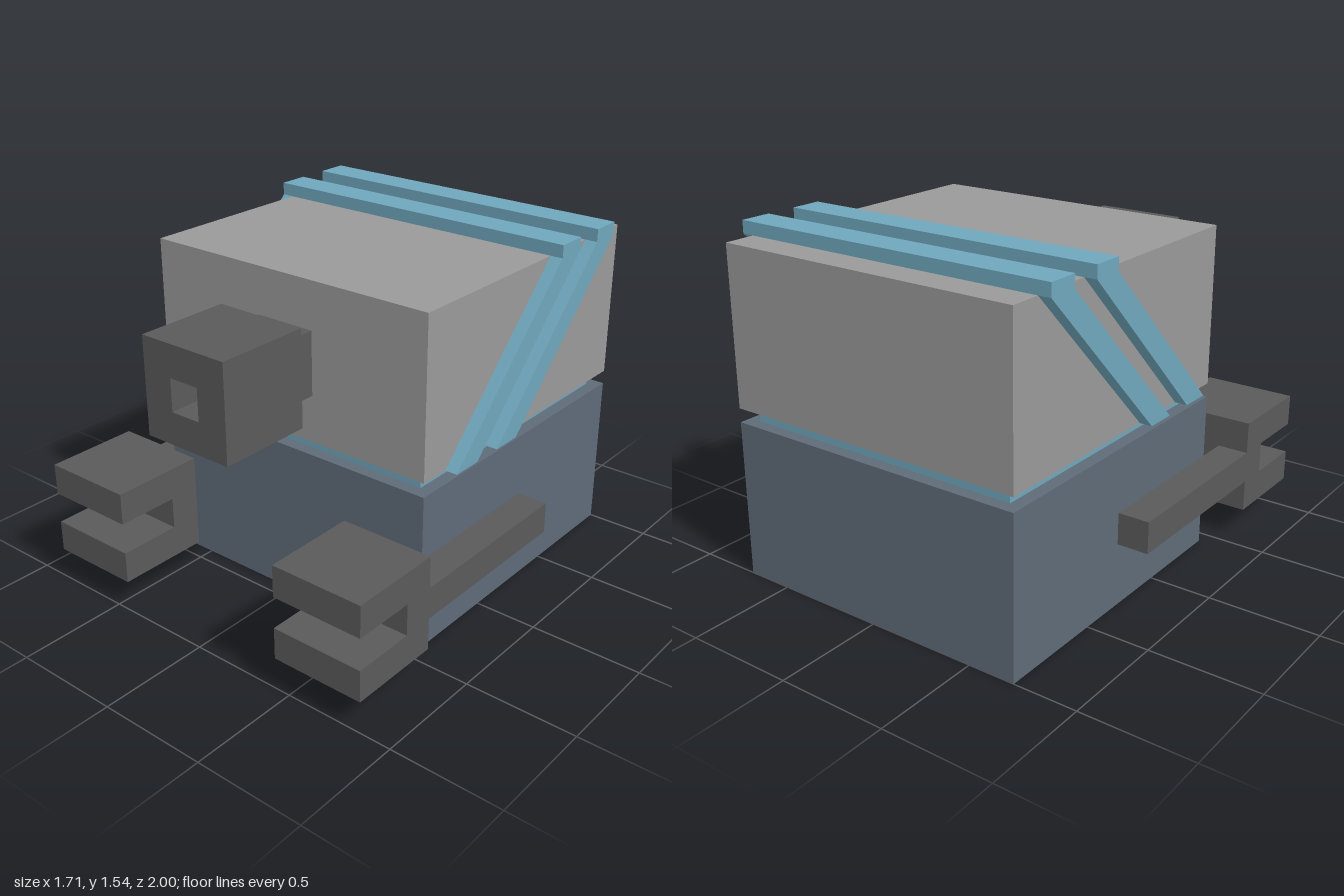
import * as THREE from 'three';

const U = 1 / 14; // grid unit of the blocky design

const material = (color) => new THREE.MeshStandardMaterial({ color, flatShading: true });

export function createModel() {
  const model = new THREE.Group();
  const grey = material(0x999999);
  const slate = material(0x5f6b78);
  const blue = material(0x6fa6bc);
  const dark = material(0x5a5a5a);

  const add = (name, geometry, mat, parent = model) => {
    const mesh = new THREE.Mesh(geometry, mat);
    mesh.name = name;
    parent.add(mesh);
    return mesh;
  };

  // Box given by its minimum and maximum corners
  const box = (name, min, max, mat, parent) => {
    const size = max.map((v, i) => v - min[i]);
    const mesh = add(name, new THREE.BoxGeometry(...size), mat, parent);
    mesh.position.set(...max.map((v, i) => (v + min[i]) / 2));
    return mesh;
  };

  const polygon = (points) => new THREE.Shape(points.map(([x, y]) => new THREE.Vector2(x, y)));

  // Side profile in (z, y), extruded along x from x0 to x1
  const sideExtrude = (points, x0, x1) => {
    const geometry = new THREE.ExtrudeGeometry(polygon(points), { depth: x1 - x0, bevelEnabled: false });
    return geometry.rotateY(-Math.PI / 2).translate(x1, 0, 0);
  };

  // Stacked body
  const back = -1, front = 6 * U, half = 10 * U;
  const neckY = 10 * U, headY = 0.777, headTop = 1.488, bandTop = 1.545, bandX = 0.771;
  box('lowerBody', [-half, 0, back], [half, neckY, front], slate);
  box('neck', [-0.657, neckY, back + 0.057], [0.657, headY, front - 0.057], blue);
  box('head', [-half, headY, back], [half, headTop, front], grey);

  // Two raised bands: a bar over the top and a slanted strip down each side
  for (const z of [-6 * U, -10 * U]) {
    const band = new THREE.Group();
    band.name = 'band';
    model.add(band);
    const width = 2 * U, run = 10 * U;
    box('bandTop', [-bandX, headTop, z - width], [bandX, bandTop, z], blue, band);
    const strip = [[z - width, headTop], [z - width + run, headY], [z + run, headY], [z, headTop]];
    add('bandLeft', sideExtrude(strip, half, bandX), blue, band);
    add('bandRight', sideExtrude(strip, -bandX, -half), blue, band);
  }

  // Square snout with an open bore reaching back to the head
  const snoutY = 1.132;
  const squareTube = (name, r, z0, z1) => {
    const square = (s) => [[-s, -s], [s, -s], [s, s], [-s, s]];
    const shape = polygon(square(r));
    shape.holes.push(polygon(square(U)));
    const geometry = new THREE.ExtrudeGeometry(shape, { depth: z1 - z0, bevelEnabled: false });
    add(name, geometry, dark).position.set(0, snoutY, z0);
  };
  squareTube('snoutBase', 2 * U, front, 8 * U);
  squareTube('snoutBlock', 3 * U, 8 * U, 1);

  // Arms along the sides, each ending in a forked claw
  const claw = [
    [8, 2], [14, 2], [14, 4], [10, 4], [10, 6], [14, 6], [14, 8], [8, 8],
  ].map(([z, y]) => [z * U, y * U]);
  for (const [side, s] of [['left', 1], ['right', -1]]) {
    const span = (a, b) => (s > 0 ? [a * U, b * U] : [-b * U, -a * U]);
    const [a0, a1] = span(10, 12);
    box(side + 'Arm', [a0, 4 * U, -4 * U], [a1, 6 * U, 8 * U], dark);
    add(side + 'Claw', sideExtrude(claw, ...span(6, 12)), dark);
  }

  return model;
}
